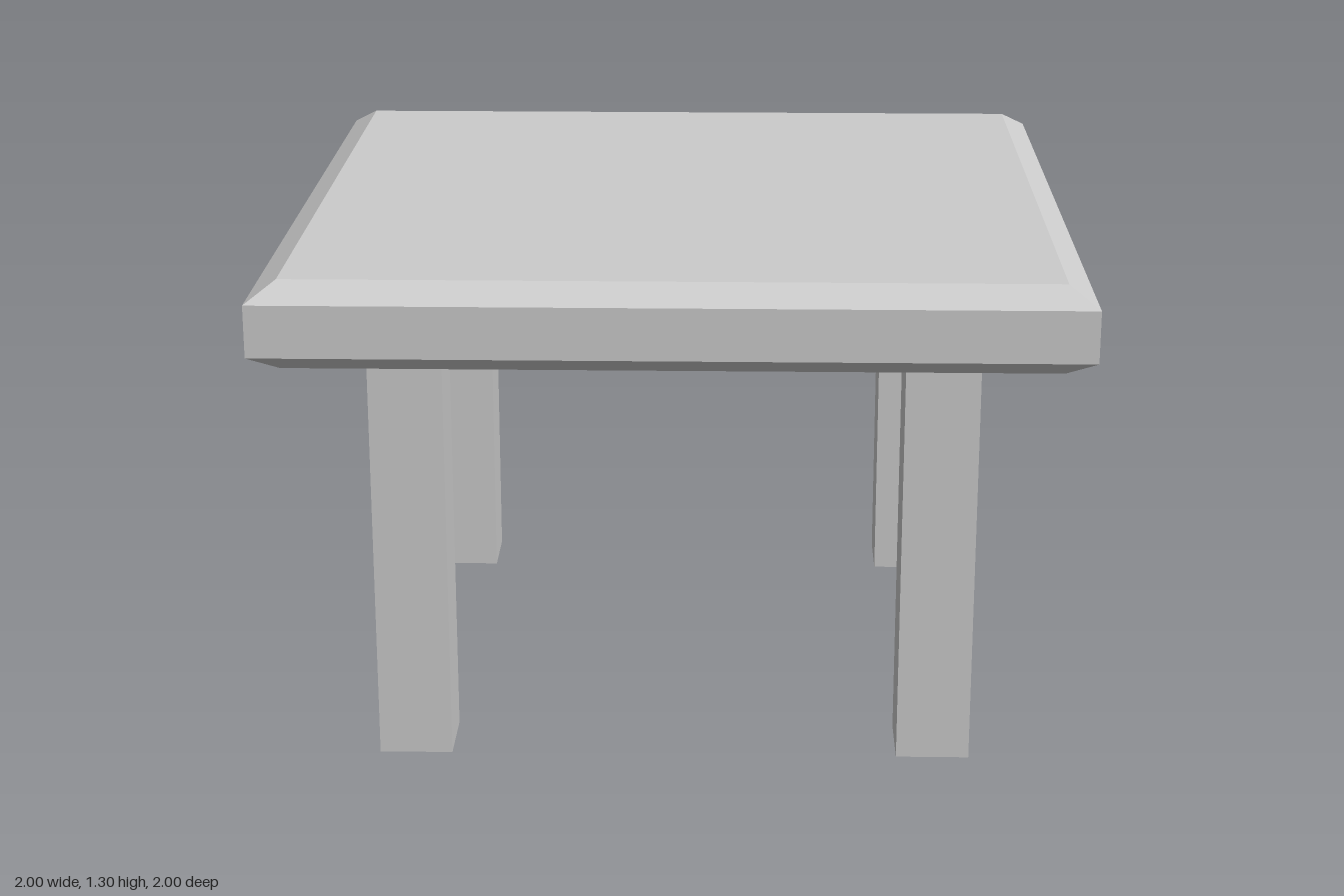
import * as THREE from 'three';

export function createModel() {
  const table = new THREE.Group();
  table.name = 'table';
  const material = new THREE.MeshStandardMaterial({ color: 0xcccccc, flatShading: true });

  // Square top, chamfered along its upper and lower edges
  const half = 0.93;
  const outline = new THREE.Shape([
    new THREE.Vector2(-half, -half),
    new THREE.Vector2(half, -half),
    new THREE.Vector2(half, half),
    new THREE.Vector2(-half, half),
  ]);
  const topGeometry = new THREE.ExtrudeGeometry(outline, {
    depth: 0.129, bevelEnabled: true, bevelSegments: 1, bevelSize: 0.07, bevelThickness: 0.045,
  });
  topGeometry.rotateX(-Math.PI / 2);
  const top = new THREE.Mesh(topGeometry, material);
  top.name = 'tableTop';
  top.position.y = 1.128;
  table.add(top);

  // Four square legs, mirrored in x and z
  const legHeight = 1.083, legWidth = 0.184, legOffset = 0.658;
  const legGeometry = new THREE.BoxGeometry(legWidth, legHeight, legWidth);
  for (const [sz, end] of [[1, 'front'], [-1, 'back']]) {
    for (const [sx, side] of [[1, 'Left'], [-1, 'Right']]) {
      const leg = new THREE.Mesh(legGeometry, material);
      leg.name = `${end}${side}Leg`;
      leg.position.set(sx * legOffset, legHeight / 2, sz * legOffset);
      table.add(leg);
    }
  }
  return table;
}
